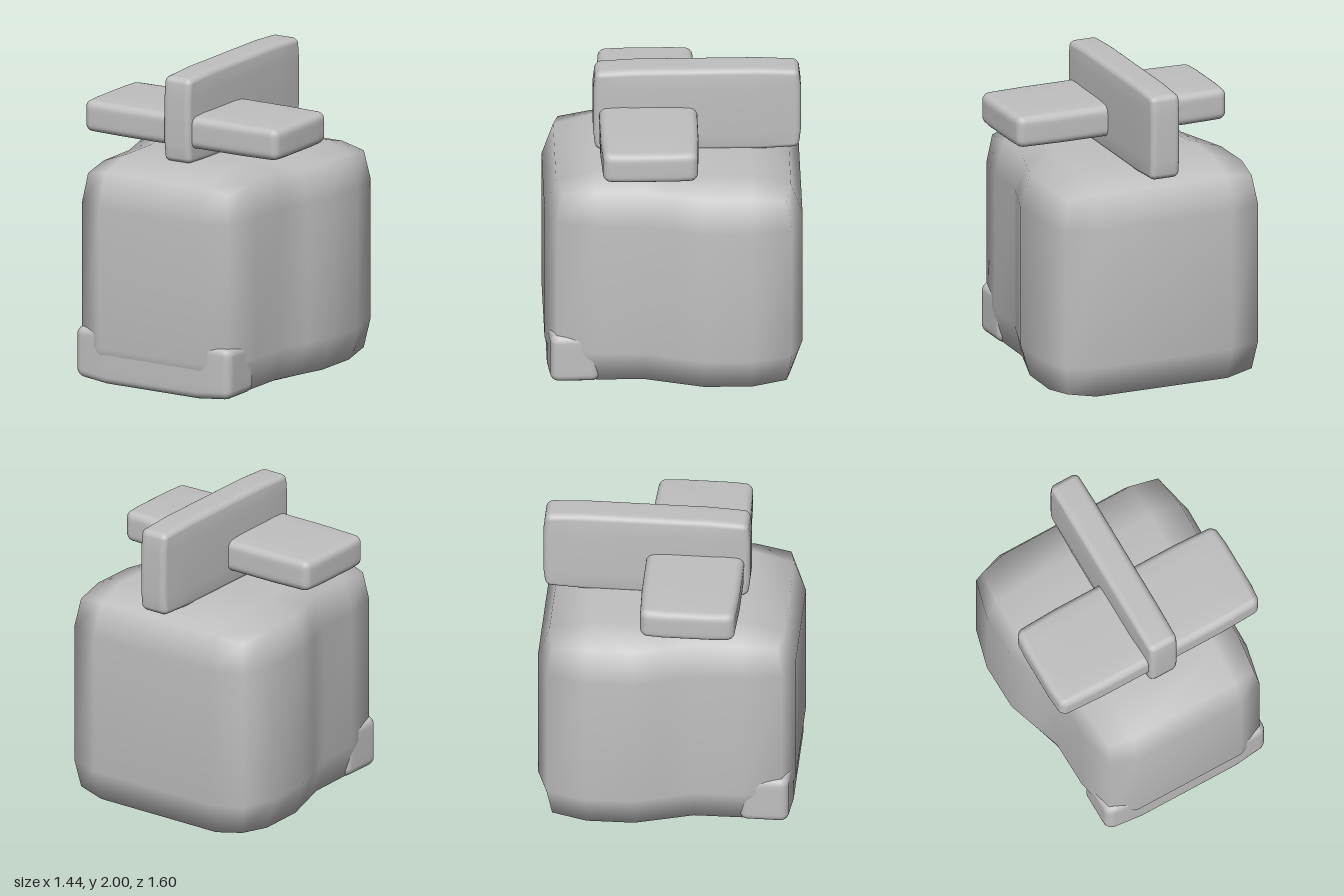
import * as THREE from 'three';
import { mergeVertices } from 'three/addons/utils/BufferGeometryUtils.js';

// Box grid whose vertices are moved by a rule from grid indices, with smooth shared normals
function shapedBox(nx, ny, nz, rule) {
  let geo = new THREE.BoxGeometry(2, 2, 2, nx, ny, nz);
  geo.deleteAttribute('uv');
  geo.deleteAttribute('normal');
  geo = mergeVertices(geo, 1e-3);
  const pos = geo.attributes.position;
  const index = (t, n) => Math.round((t + 1) / 2 * n);
  for (let i = 0; i < pos.count; i++) {
    pos.setXYZ(i, ...rule(index(pos.getX(i), nx), index(pos.getY(i), ny), index(pos.getZ(i), nz)));
  }
  geo.computeVertexNormals();
  return geo;
}

// Softly rounded block, slightly thinner towards its ends
function softBlock(size, center, r, bow) {
  const half = size.map(s => s / 2);
  const levels = half.map(h => {
    const side = [h, h - 0.3 * r, h - 0.65 * r, h - r, (h - r) * 0.65];
    return [...side.map(v => -v), ...side.reverse()];
  });
  return shapedBox(9, 9, 9, (...ids) => {
    const p = ids.map((id, a) => levels[a][id]);
    const core = p.map((v, a) => THREE.MathUtils.clamp(v, r - half[a], half[a] - r));
    const d = new THREE.Vector3(...p.map((v, a) => v - core[a])).setLength(r);
    const q = core.map((v, a) => v + d.getComponent(a));
    // Thin the block only towards the ends of its long axes
    const excess = p.map((v, a) => half[a] > 0.25 ? Math.max(0, Math.abs(v) / half[a] - 0.6) / 0.4 : 0);
    return q.map((v, a) => {
      const e = Math.max(...excess.filter((_, b) => b !== a));
      return center[a] + v - Math.sign(v) * Math.min(Math.abs(v), bow * e);
    });
  });
}

// Rounded body, wide at the back and stepped in towards the front
function bodyGeometry() {
  const cross = [-1, -0.62, 0.62, 1];
  const zs = [-0.8, -0.48, -0.18, 0, 0.18, 0.48, 0.8];
  const widths = [0.72, 0.72, 0.715, 0.655, 0.595, 0.59, 0.59];
  const inset = [1, 1, 0.91, 0.87];
  return shapedBox(3, 3, 6, (i, j, k) => {
    const outer = [i % 3 === 0, j % 3 === 0, k % 6 === 0];
    const f = inset[outer.filter(Boolean).length];
    return [
      cross[i] * widths[k] * (outer[0] ? f : 1),
      0.725 + cross[j] * 0.725 * (outer[1] ? f : 1),
      zs[k] * (outer[2] ? f : 1),
    ];
  });
}

export function createModel() {
  const group = new THREE.Group();
  const grey = new THREE.MeshStandardMaterial({ color: 0xc0c0c0 });
  grey.name = 'plain grey';
  const add = (name, geo) => {
    const mesh = new THREE.Mesh(geo, grey);
    mesh.name = name;
    group.add(mesh);
  };

  add('body', bodyGeometry());
  // Upright blade and crosspiece above the body
  add('uprightBlade', softBlock([0.22, 0.57, 1.29], [0, 1.715, -0.155], 0.035, 0.014));
  add('crossBlade', softBlock([1.44, 0.22, 0.61], [0, 1.64, 0.15], 0.045, 0.012));
  // Low bar wrapped around the front of the body
  add('frontBumper', softBlock([1.14, 0.36, 0.34], [0, 0.22, 0.615], 0.05, 0.02));
  return group;
}
